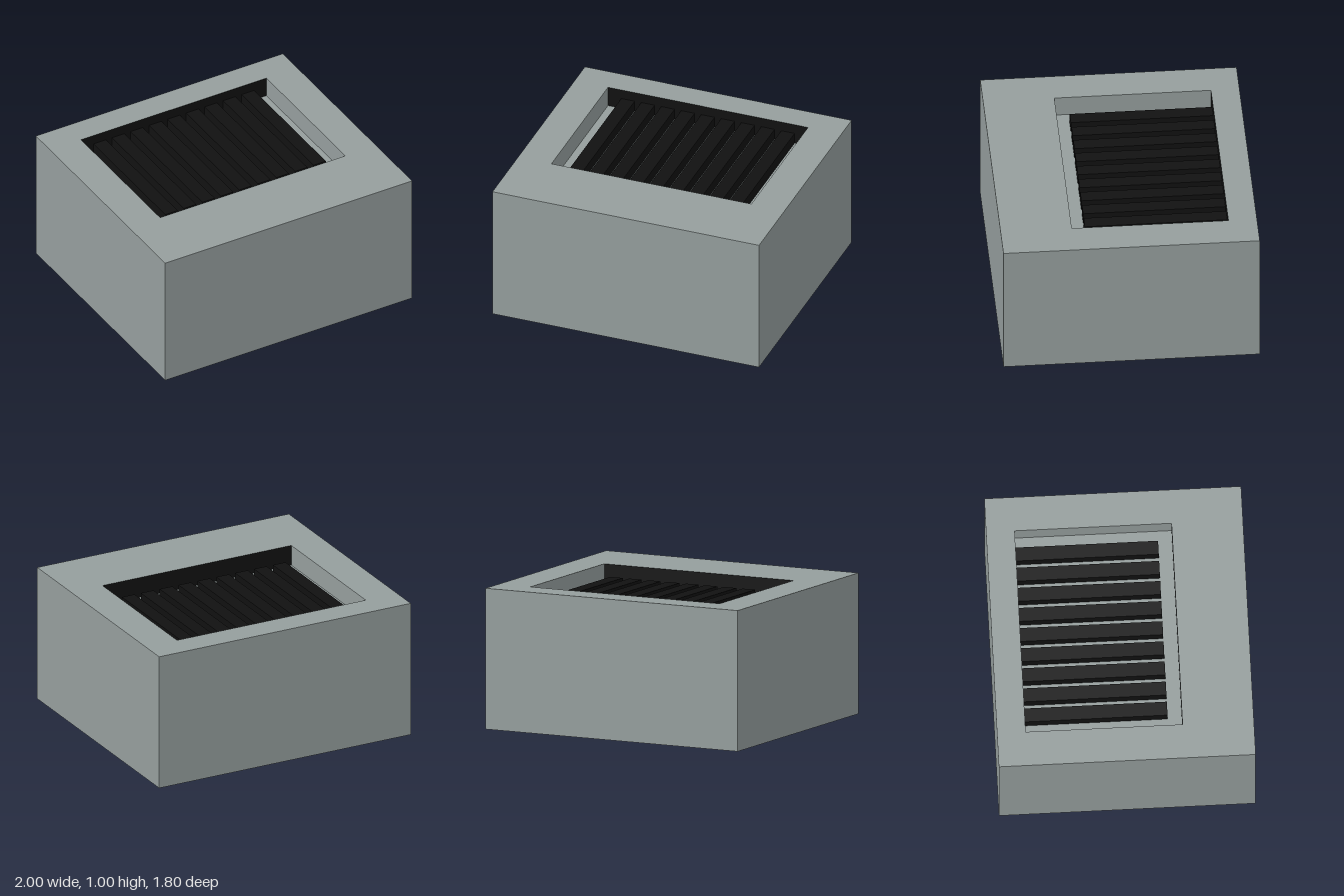
import * as THREE from 'three';

const grey = new THREE.MeshStandardMaterial({ color: 0x959e9d, flatShading: true });
const black = new THREE.MeshStandardMaterial({ color: 0x111111, flatShading: true });

const TOP = 1, FLOOR = 0.85, FIN_TOP = 0.93;
const X = 0.75, BACK = -0.7, FRONT = 0.4;

// Rectangle of four corners at height y, counterclockwise from above
const ring = (x, y, back, front) =>
  [[-x, y, front], [x, y, front], [x, y, back], [-x, y, back]];

function quadGeometry(quads) {
  const points = quads.flatMap(([a, b, c, d]) => [a, b, c, a, c, d]).flat();
  const geometry = new THREE.BufferGeometry();
  geometry.setAttribute('position', new THREE.Float32BufferAttribute(points, 3));
  geometry.computeVertexNormals();
  return geometry;
}

export function createModel() {
  const group = new THREE.Group();
  const add = (name, geometry, material) => {
    const mesh = new THREE.Mesh(geometry, material);
    mesh.name = name;
    group.add(mesh);
    return mesh;
  };

  // Housing: outer walls, top rim, recess walls, floor and underside
  const rings = [
    ring(1, 0, -0.9, 0.9),
    ring(1, TOP, -0.9, 0.9),
    ring(X, TOP, BACK, FRONT),
    ring(X, FLOOR, BACK, FRONT),
  ];
  const housing = [[...rings[0]].reverse(), rings[3]];
  const darkWalls = [];
  for (let r = 0; r < 3; r++) {
    for (let i = 0; i < 4; i++) {
      const j = (i + 1) % 4;
      const quad = [rings[r][i], rings[r][j], rings[r + 1][j], rings[r + 1][i]];
      // The front and back walls of the recess are dark
      (r === 2 && i % 2 === 0 ? darkWalls : housing).push(quad);
    }
  }
  add('housing', quadGeometry(housing), grey);
  add('recessEndWalls', quadGeometry(darkWalls), black);

  // Nine grille fins standing on the recess floor
  const finGeometry = new THREE.BoxGeometry(0.1, FIN_TOP - FLOOR, 1);
  for (let i = -4; i <= 4; i++) {
    add('grilleFin', finGeometry, black).position.set(i * 0.15, (FLOOR + FIN_TOP) / 2, -0.2);
  }
  return group;
}
